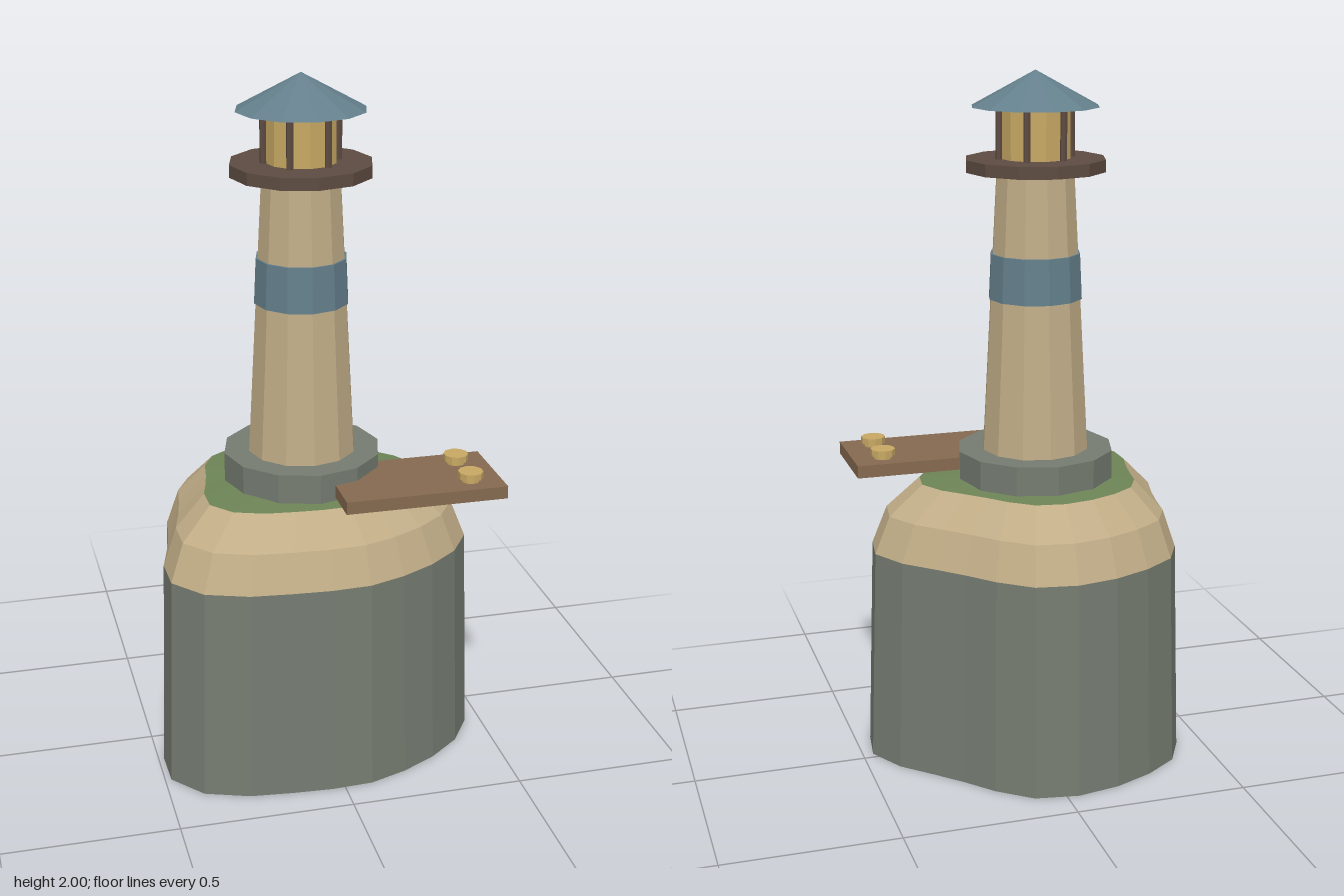
import * as THREE from 'three';

const CX = -0.035, CZ = 0.022; // shared axis of island and tower

function material(name, color, side = THREE.FrontSide) {
  return new THREE.MeshStandardMaterial({ name, color, side, flatShading: true });
}

// Island outline: radius every 15 degrees, clockwise from the back
const OUTLINE = [0.432, 0.426, 0.388, 0.362, 0.368, 0.405, 0.443, 0.444, 0.43, 0.41, 0.398, 0.396,
  0.388, 0.394, 0.424, 0.456, 0.453, 0.408, 0.37, 0.366, 0.393, 0.417, 0.418, 0.424];

// Loft between rings given as [height, scale]
function loft(levels) {
  const pos = [], index = [], n = OUTLINE.length;
  for (const [y, s] of levels) {
    OUTLINE.forEach((r, i) => {
      const a = (i / n) * Math.PI * 2;
      pos.push(1.14 * r * s * Math.sin(a), y, -r * s * Math.cos(a));
    });
  }
  for (let k = 0; k < levels.length - 1; k++) {
    for (let i = 0; i < n; i++) {
      const a = k * n + i, b = k * n + (i + 1) % n;
      index.push(a, a + n, b, b, a + n, b + n);
    }
  }
  const g = new THREE.BufferGeometry();
  g.setAttribute('position', new THREE.Float32BufferAttribute(pos, 3));
  g.setIndex(index);
  const flat = g.toNonIndexed();
  flat.computeVertexNormals();
  return flat;
}

export function createModel() {
  const rock = material('rock grey', 0x757c71, THREE.DoubleSide);
  const sand = material('sand', 0xc2ae88, THREE.DoubleSide);
  const grass = material('grass green', 0x6d8456, THREE.DoubleSide);
  const blue = material('slate blue', 0x64808c);
  const darkWood = material('dark wood', 0x5e4c42);
  const plank = material('plank brown', 0x866a50);
  const amber = material('amber', 0xc8a964);

  const model = new THREE.Group();
  model.name = 'lighthouseIsland';
  const add = (name, geometry, mat, x = CX, y = 0, z = CZ) => {
    const mesh = new THREE.Mesh(geometry, mat);
    mesh.name = name;
    mesh.position.set(x, y, z);
    model.add(mesh);
    return mesh;
  };
  // Upright faceted cylinder from y0 to y1
  const column = (name, r0, r1, y0, y1, mat, x, z, sides = 12) =>
    add(name, new THREE.CylinderGeometry(r1, r0, y1 - y0, sides), mat, x, (y0 + y1) / 2, z);

  // Island: open-bottomed cliff, sandy shoulder, grassy top
  add('cliff', loft([[0, 1], [0.63, 0.957]]), rock);
  add('sandShoulder', loft([[0.63, 0.957], [0.74, 0.87], [0.828, 0.675]]), sand);
  add('grassTop', loft([[0.828, 0.675], [0.85, 0]]), grass);

  // Tower
  column('towerBase', 0.228, 0.228, 0.83, 0.917, rock);
  column('tower', 0.156, 0.112, 0.91, 1.725, sand);
  column('towerBand', 0.136, 0.13, 1.36, 1.49, blue);
  column('gallery', 0.201, 0.201, 1.722, 1.757, darkWood);

  // Lantern room with six posts
  column('lanternGlass', 0.1, 0.1, 1.757, 1.9, amber);
  for (let i = 0; i < 6; i++) {
    const a = (i / 6) * Math.PI * 2;
    column('lanternPost', 0.01, 0.01, 1.757, 1.9, darkWood,
      CX + 0.106 * Math.cos(a), CZ + 0.106 * Math.sin(a), 6);
  }
  add('roof', new THREE.ConeGeometry(0.183, 0.1, 12), blue, CX, 1.95);

  // Jetty with two bollards
  add('jetty', new THREE.BoxGeometry(0.468, 0.037, 0.266), plank, 0.245, 0.859, 0.226);
  for (const z of [0.158, 0.292]) {
    column('bollardStem', 0.028, 0.028, 0.877, 0.89, amber, 0.39, z, 10);
    column('bollardCap', 0.036, 0.036, 0.887, 0.906, amber, 0.39, z, 10);
  }
  return model;
}
